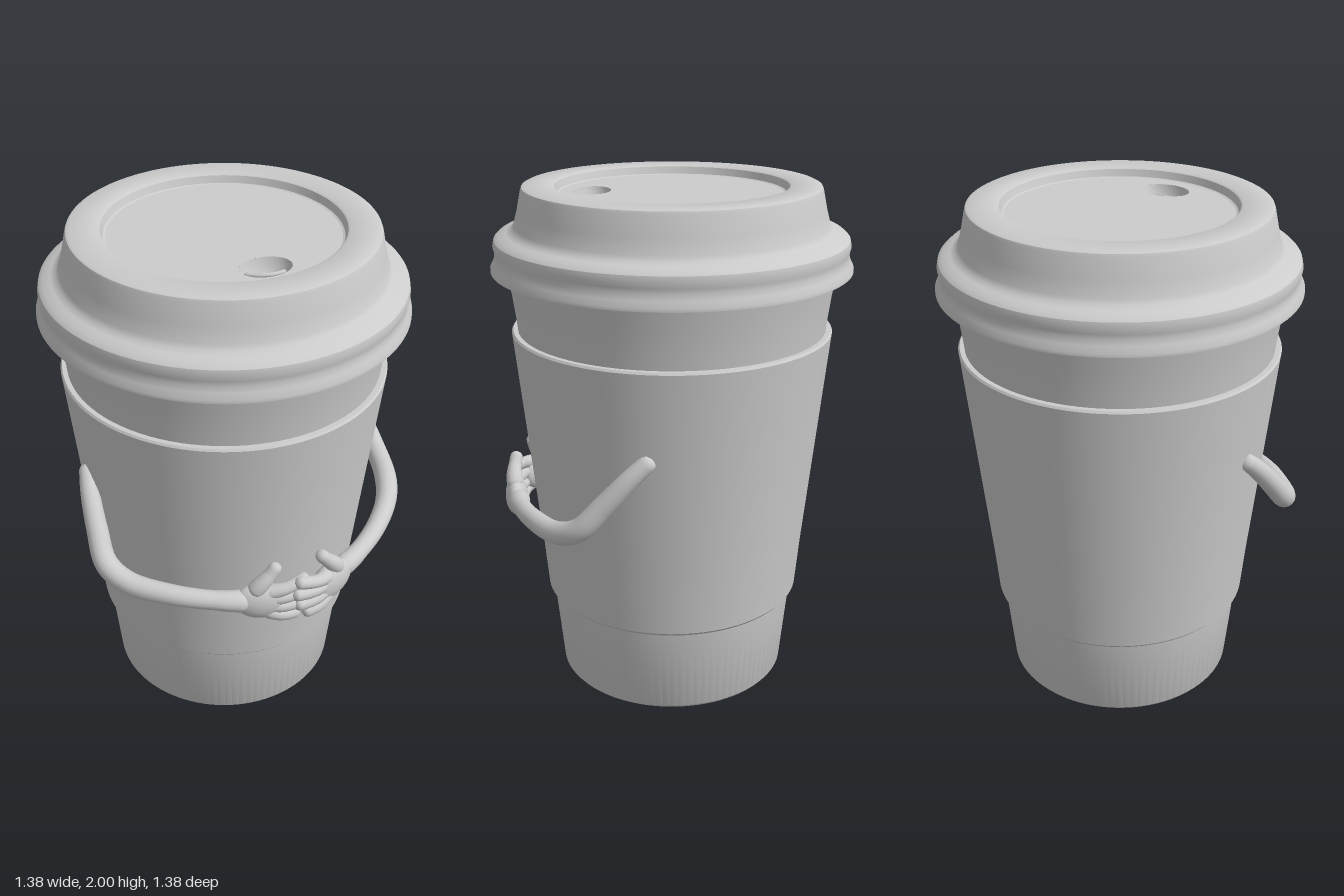
import * as THREE from 'three';
import { mergeVertices, toCreasedNormals } from 'three/addons/utils/BufferGeometryUtils.js';

const material = new THREE.MeshStandardMaterial({ color: 0xcccccc });
const V = (x, y, z) => new THREE.Vector3(x, y, z);

function add(parent, name, geometry) {
  const mesh = new THREE.Mesh(geometry, material);
  mesh.name = name;
  parent.add(mesh);
  return mesh;
}

// Turned part from an [radius, height] profile, sharp corners kept
function turned(profile, segments = 96) {
  const points = profile.map(([r, y]) => new THREE.Vector2(r, y));
  return toCreasedNormals(new THREE.LatheGeometry(points, segments), 0.6);
}

// Round-ended tube whose radius follows a list of values along the path
function limb(points, radii, steps, sides = 14) {
  const curve = new THREE.CatmullRomCurve3(points);
  const geometry = new THREE.TubeGeometry(curve, steps, 1, sides);
  const length = curve.getLength();
  const pos = geometry.attributes.position;
  const p = V(0, 0, 0);
  for (let i = 0; i <= steps; i++) {
    const t = i / steps;
    const k = Math.min(Math.floor(t * (radii.length - 1)), radii.length - 2);
    let r = THREE.MathUtils.lerp(radii[k], radii[k + 1], t * (radii.length - 1) - k);
    const end = Math.min(t, 1 - t) * length;
    if (end < r) r *= Math.sqrt(1 - (1 - end / r) ** 2);
    const centre = curve.getPointAt(t);
    for (let j = 0; j <= sides; j++) {
      const n = i * (sides + 1) + j;
      p.fromBufferAttribute(pos, n).sub(centre).multiplyScalar(r).add(centre);
      pos.setXYZ(n, p.x, p.y, p.z);
    }
  }
  geometry.deleteAttribute('uv');
  geometry.deleteAttribute('normal');
  const smooth = mergeVertices(geometry, 1e-5);
  smooth.computeVertexNormals();
  return smooth;
}

// One arm with its hand; side is +1 for left, -1 for right
function arm(side) {
  const group = new THREE.Group();
  group.name = side > 0 ? 'leftArm' : 'rightArm';
  const lift = side > 0 ? 0.018 : 0; // the left hand rests over the right
  const at = (x, y, z) => V(side * x, y, z);

  add(group, 'armTube', limb([
    at(0.575, 1.125, -0.03), at(0.6, 1.05, 0.05), at(0.617, 0.94, 0.15),
    at(0.622, 0.845, 0.24), at(0.575, 0.805, 0.33), at(0.44, 0.79, 0.46),
    at(0.29, 0.775, 0.55), at(0.19, 0.76, 0.583),
  ], [0.032, 0.038, 0.042, 0.045, 0.042, 0.039, 0.037, 0.045], 72, 16));

  const palm = add(group, 'palm', new THREE.SphereGeometry(1, 28, 18));
  palm.scale.set(0.105, 0.08, 0.045);
  palm.position.copy(at(0.145, 0.75, 0.588 + lift));
  palm.rotation.set(0, side * 0.25, side * 0.2);

  // Thumb, then four fingers as [root y, tip x, tip y]
  add(group, 'thumb', limb([
    at(0.185, 0.79, 0.58 + lift), at(0.14, 0.845, 0.595 + lift),
    at(0.105, 0.883, 0.597 + lift), at(0.08, 0.915, 0.595 + lift),
  ], [0.035, 0.033, 0.026, 0.025], 24));
  [[0.785, -0.035, 0.835], [0.76, -0.045, 0.775], [0.73, -0.035, 0.72], [0.705, 0.0, 0.67]]
    .forEach(([rootY, tipX, tipY], i) => {
      add(group, 'finger' + (i + 1), limb([
        at(0.14, rootY, 0.59 + lift),
        at((0.14 + tipX) / 2 + 0.01, (rootY + tipY) / 2 - 0.005, 0.625 + lift),
        at(tipX, tipY, 0.628 + lift),
      ], [0.032, 0.025, 0.025], 22));
    });
  return group;
}

export function createModel() {
  const model = new THREE.Group();
  const body = new THREE.Group();
  body.name = 'cupBody';
  body.position.z = -0.012;
  model.add(body);

  // Paper cup with a recessed underside
  add(body, 'cup', turned([
    [0, 0.09], [0.3, 0.085], [0.345, 0.07], [0.362, 0.0], [0.452, 0],
    [0.462, 0.012], [0.495, 0.36], [0.592, 1.42], [0.6, 1.5], [0.613, 1.6], [0.635, 1.72],
  ]));

  // Cardboard sleeve
  add(body, 'sleeve', turned([
    [0.49, 0.358], [0.506, 0.36], [0.516, 0.372], [0.532, 0.56],
    [0.618, 1.43], [0.62, 1.448], [0.614, 1.456], [0.592, 1.456],
  ]));

  // Lid: flared skirt, rolled rim, sloped wall, rim around the sunken top
  add(body, 'lid', turned([
    [0.6, 1.72], [0.645, 1.71], [0.668, 1.688], [0.688, 1.688], [0.688, 1.7],
    [0.676, 1.722], [0.67, 1.745], [0.671, 1.762], [0.676, 1.782], [0.671, 1.805],
    [0.655, 1.82], [0.625, 1.828], [0.605, 1.838], [0.595, 1.855], [0.58, 1.91],
    [0.564, 1.985], [0.56, 1.995], [0.55, 2.0], [0.447, 2.0], [0.439, 1.995],
    [0.43, 1.968], [0.42, 1.964],
  ]));

  // Sunken top with the drinking opening
  const top = new THREE.Shape().absarc(0, 0, 0.422, 0, Math.PI * 2, false);
  const opening = new THREE.Path().absellipse(0.005, -0.305, 0.095, 0.072, 0, Math.PI * 2, true);
  top.holes.push(opening);
  const floor = add(body, 'lidTop', new THREE.ShapeGeometry(top, 48));
  floor.rotation.x = -Math.PI / 2;
  floor.position.y = 1.965;

  const pocket = add(body, 'drinkingOpening', turned([[1, 0], [0.9, -0.035], [0, -0.04]], 48));
  pocket.scale.set(0.095, 1, 0.072);
  pocket.position.set(0.005, 1.965, 0.305);

  add(body, 'openingRidge', limb([
    V(-0.06, 1.932, 0.265), V(-0.02, 1.936, 0.3), V(0.03, 1.936, 0.315), V(0.085, 1.932, 0.305),
  ], [0.008, 0.008], 20, 8));

  model.add(arm(1), arm(-1));
  return model;
}
